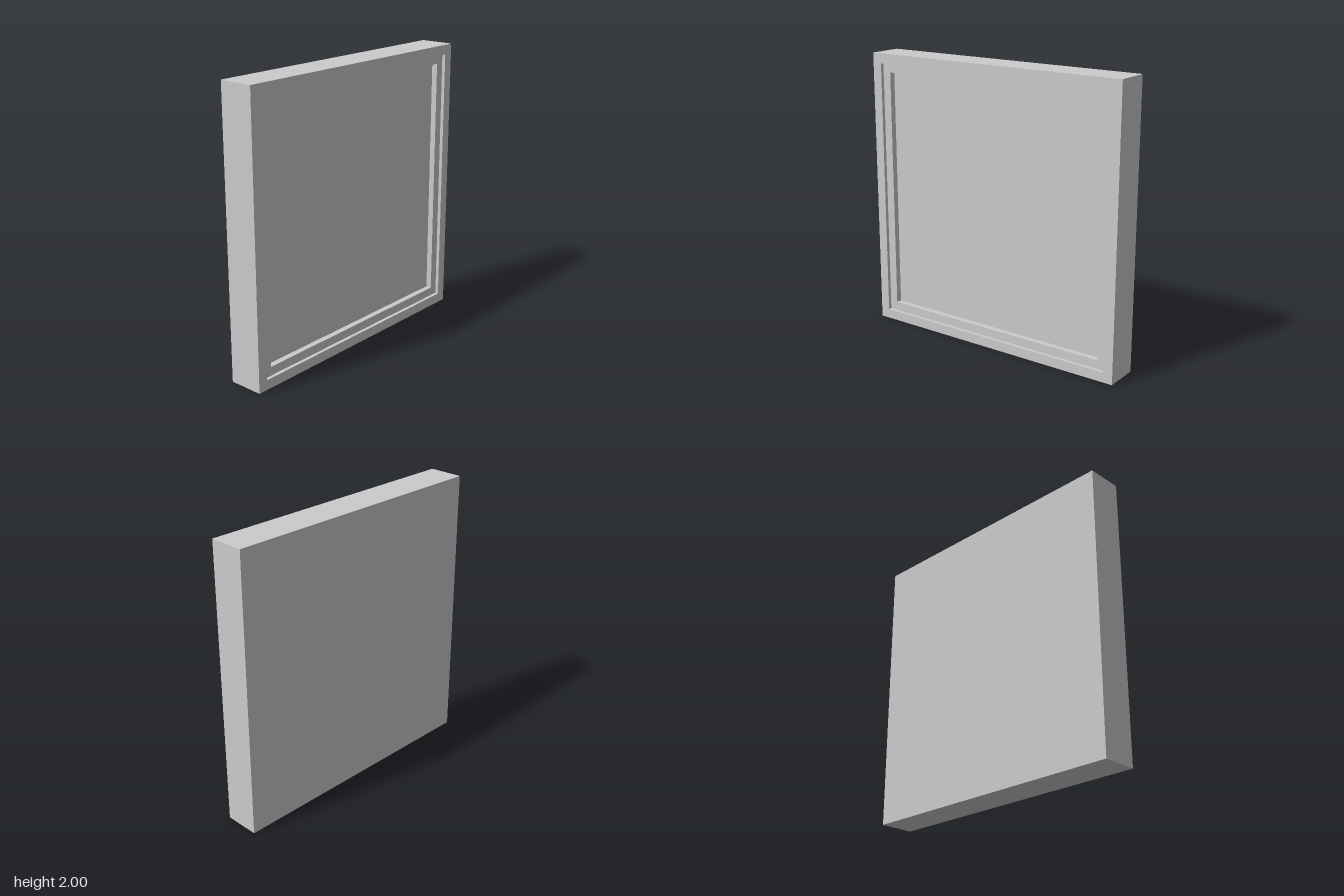
import * as THREE from 'three';

const SEAM = 1.14; // mean height of the slanted joint between the two halves
const seamOffset = (x, z) => 0.12 * x + 0.07 * z;

// One layer of a half: a full plate (inset 0) or a U-shaped border, from x0 to x1
function layer(name, material, outerY, inset, x0, x1) {
  const dir = outerY > SEAM ? -1 : 1; // from the outer edge towards the joint
  const innerY = outerY + dir * inset;
  const w = 1 - inset;
  const points = inset === 0
    ? [[-1, SEAM], [-1, outerY], [1, outerY], [1, SEAM]]
    : [[-1, SEAM], [-1, outerY], [1, outerY], [1, SEAM],
      [w, SEAM], [w, innerY], [-w, innerY], [-w, SEAM]];
  const shape = new THREE.Shape(points.map(([a, b]) => new THREE.Vector2(a, b)));
  const geometry = new THREE.ExtrudeGeometry(shape, { depth: x1 - x0, bevelEnabled: false });
  geometry.rotateY(Math.PI / 2).translate(x0, 0, 0);

  // Tilt the end faces so both halves meet on the slanted joint
  const p = geometry.attributes.position;
  for (let i = 0; i < p.count; i++) {
    if (Math.abs(p.getY(i) - SEAM) < 1e-4) p.setY(i, SEAM + seamOffset(p.getX(i), p.getZ(i)));
  }
  geometry.computeVertexNormals();
  const mesh = new THREE.Mesh(geometry, material);
  mesh.name = name;
  return mesh;
}

export function createModel() {
  const material = new THREE.MeshStandardMaterial({ color: 0xcccccc, flatShading: true });
  const model = new THREE.Group();
  model.name = 'framedPanel';

  for (const [name, outerY] of [['lowerHalf', 0], ['upperHalf', 2]]) {
    const half = new THREE.Group();
    half.name = name;
    half.add(
      layer('backPanel', material, outerY, 0, -0.125, 0.058),
      layer('innerLedge', material, outerY, 0.132, 0.058, 0.1),
      layer('outerRim', material, outerY, 0.07, 0.1, 0.125),
    );
    model.add(half);
  }
  return model;
}
